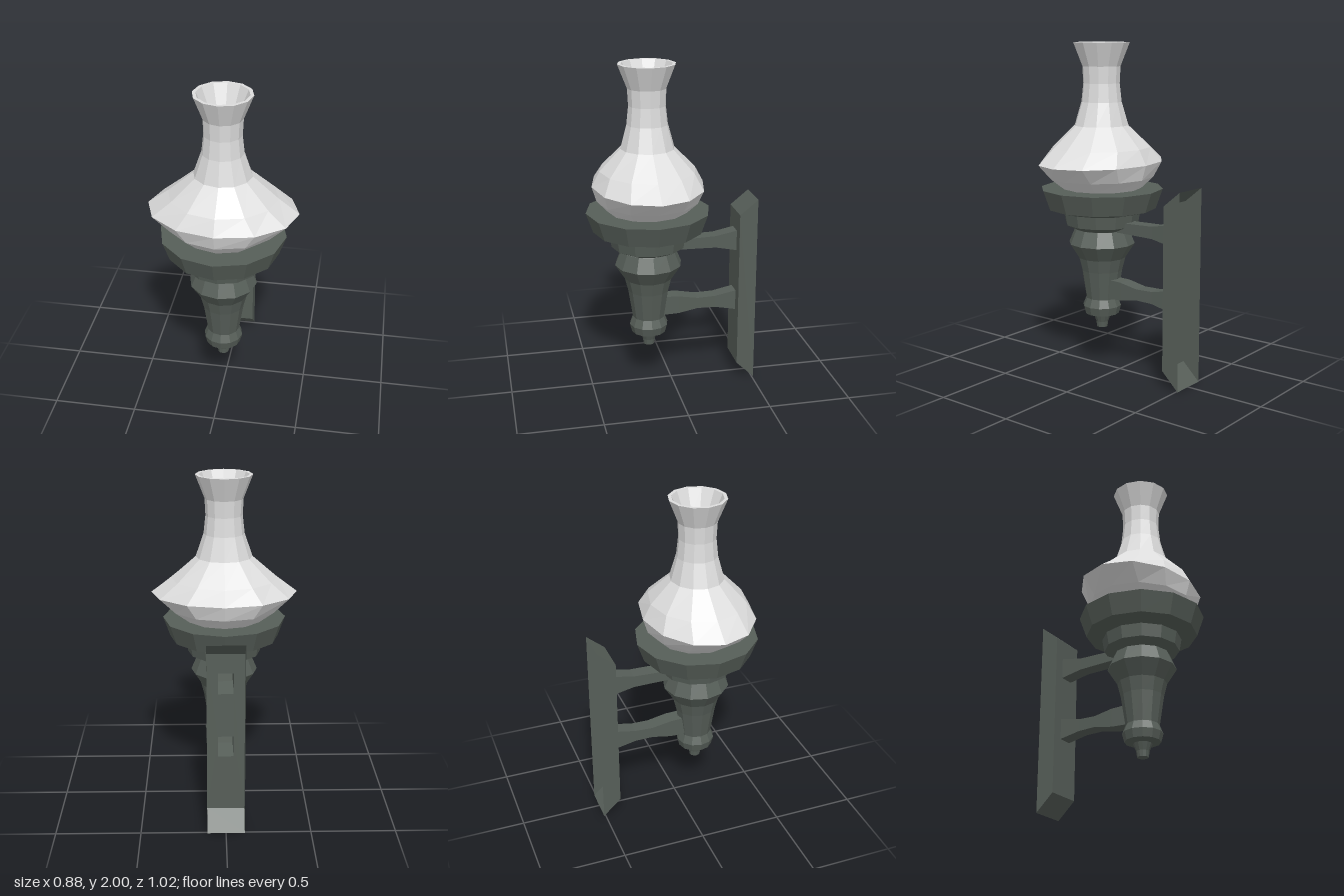
import * as THREE from 'three';

const AXIS_Z = 0.14; // lamp axis stands in front of the wall plate

// Skin a list of rings (each a list of [x, y, z]); rings run counter-clockwise seen from the end
function loft(rings) {
  const n = rings[0].length, index = [];
  for (let r = 0; r < rings.length - 1; r++) {
    for (let i = 0; i < n; i++) {
      const j = (i + 1) % n;
      const a = r * n + i, b = r * n + j, c = a + n, d = b + n;
      index.push(a, b, d, a, d, c);
    }
  }
  const geo = new THREE.BufferGeometry();
  geo.setAttribute('position', new THREE.Float32BufferAttribute(rings.flat(2), 3));
  geo.setIndex(index);
  geo.computeVertexNormals();
  return geo;
}

// Twelve-sided turned form from [y, radiusX, radiusZ] rows
function turned(rows) {
  return loft(rows.map(([y, rx, rz = rx]) =>
    Array.from({ length: 12 }, (_, i) => {
      const t = (i / 12) * Math.PI * 2;
      return [rx * Math.cos(t), y, -rz * Math.sin(t)];
    })));
}

// Rectangular ring at depth z
const rect = (z, w, y0, y1) => [[w, y0, z], [w, y1, z], [-w, y1, z], [-w, y0, z]];

export function createModel() {
  const model = new THREE.Group();
  model.name = 'wallLamp';
  const iron = new THREE.MeshStandardMaterial({ color: 0x565e58, flatShading: true, side: THREE.DoubleSide });
  iron.name = 'dark iron';
  const glass = new THREE.MeshStandardMaterial({ color: 0xdcdcdc, flatShading: true, side: THREE.DoubleSide });
  glass.name = 'pale glass';

  const add = (name, geo, mat, z = 0) => {
    const mesh = new THREE.Mesh(geo, mat);
    mesh.name = name;
    mesh.position.z = z;
    model.add(mesh);
  };

  // Glass chimney: outer wall, rim, inner wall and floor
  add('glassChimney', turned([
    [1.132, 0.001], [1.132, 0.24], [1.2, 0.335, 0.305], [1.29, 0.44, 0.333],
    [1.38, 0.32, 0.285], [1.51, 0.17, 0.16], [1.65, 0.122], [1.76, 0.11],
    [1.86, 0.115], [2, 0.17],
    [2, 0.15], [1.86, 0.09], [1.76, 0.085], [1.65, 0.095], [1.5, 0.14],
    [1.29, 0.4, 0.3], [1.16, 0.22], [1.16, 0.001],
  ]), glass, AXIS_Z);

  // Cup carrying the glass
  add('cup', turned([
    [0.985, 0.001], [0.985, 0.235], [1.01, 0.33], [1.13, 0.372], [1.13, 0.001],
  ]), iron, AXIS_Z);

  // Collar under the cup
  add('collar', turned([
    [0.88, 0.16], [0.91, 0.222], [0.985, 0.235],
  ]), iron, AXIS_Z);

  // Tapered stem with lower knob and finial
  add('stem', turned([
    [0.255, 0.001], [0.255, 0.033], [0.29, 0.038], [0.335, 0.055], [0.345, 0.105],
    [0.395, 0.118], [0.445, 0.098], [0.62, 0.125], [0.7, 0.145], [0.79, 0.203], [0.88, 0.165],
  ]), iron, AXIS_Z);

  // Hollow wall plate: sloped ends, open back, two sockets in the front
  add('wallPlateSides', loft([
    rect(-0.51, 0.11, 0.005, 1.18), rect(-0.4, 0.11, 0.11, 1.09),
  ]), iron);
  const face = new THREE.Shape([[-0.11, 0.11], [0.11, 0.11], [0.11, 1.09], [-0.11, 1.09]]
    .map(([x, y]) => new THREE.Vector2(x, y)));
  const arms = [
    { name: 'upperArm', y: 0.908, end: 0.035, z: 0.0 },
    { name: 'lowerArm', y: 0.515, end: 0.062, z: 0.06 },
  ];
  for (const { y } of arms) {
    face.holes.push(new THREE.Path(rect(0, 0.045, y - 0.063, y + 0.063)
      .map(([x, v]) => new THREE.Vector2(x, v))));
  }
  add('wallPlateFace', new THREE.ShapeGeometry(face), iron, -0.4);

  // Waisted hollow arms from the plate to the stem
  for (const { name, y, end, z } of arms) {
    const ring = (d, w, h) => rect(d, w, y - h, y + h);
    add(name, loft([
      ring(-0.4, 0.045, 0.063), ring(-0.27, 0.043, 0.037), ring(-0.16, 0.045, 0.034),
      ring(-0.04, 0.047, end * 0.9), ring(z + 0.06, 0.045, end),
    ]), iron);
  }
  return model;
}
